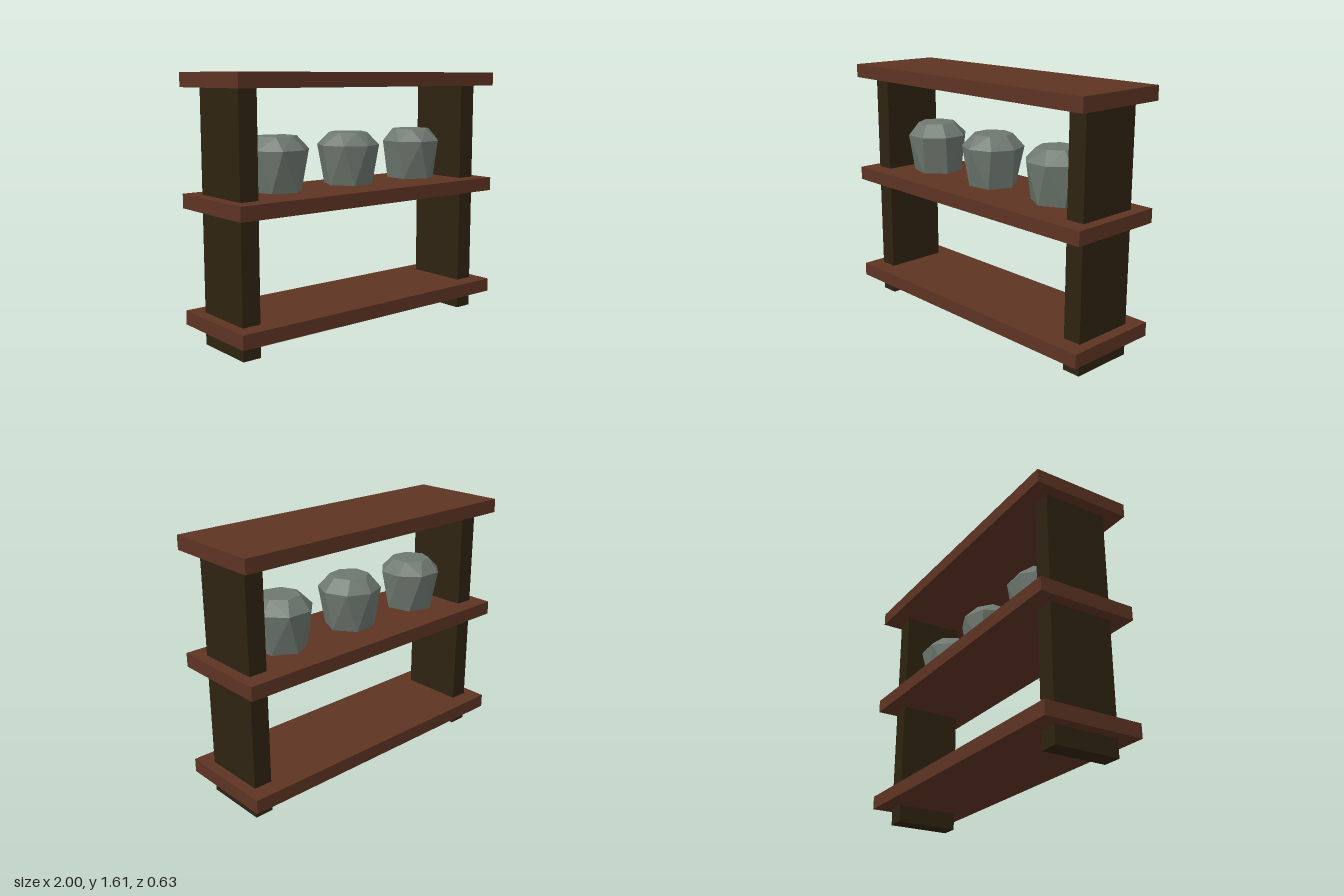
import * as THREE from 'three';
import { ConvexGeometry } from 'three/addons/geometries/ConvexGeometry.js';

const material = (name, color) => {
  const m = new THREE.MeshStandardMaterial({ color });
  m.name = name;
  return m;
};

// Points on a horizontal circle; angles in degrees measured from the front
function ring(count, radius, y, start) {
  return Array.from({ length: count }, (_, i) => {
    const a = THREE.MathUtils.degToRad(start + (i * 360) / count);
    return new THREE.Vector3(Math.sin(a) * radius, y, Math.cos(a) * radius);
  });
}

export function createModel() {
  const shelfWood = material('reddish shelf wood', 0x5e3423);
  const postWood = material('dark post wood', 0x2f2311);
  const stone = material('grey stone', 0x6e7870);
  stone.flatShading = true;

  const model = new THREE.Group();
  model.name = 'shelfWithStones';

  const add = (name, geometry, mat, x, y, z = 0) => {
    const mesh = new THREE.Mesh(geometry, mat);
    mesh.name = name;
    mesh.position.set(x, y, z);
    model.add(mesh);
    return mesh;
  };

  // Three boards
  const board = new THREE.BoxGeometry(2, 0.087, 0.632);
  [['bottomShelf', 0.154], ['middleShelf', 0.863], ['topShelf', 1.571]]
    .forEach(([name, y]) => add(name, board, shelfWood, 0, y));

  // Side posts running through the boards
  const post = new THREE.BoxGeometry(0.118, 1.6, 0.412);
  add('leftPost', post, postWood, 0.872, 0.8);
  add('rightPost', post, postWood, -0.872, 0.8);

  // Faceted stones: narrow base, wide shoulder, small flat top
  const rock = new ConvexGeometry([
    ...ring(6, 0.157, 0, 0),
    ...ring(8, 0.197, 0.247, 22.5),
    ...ring(7, 0.123, 0.326, 10),
  ]);
  [['rightStone', -0.546, -46], ['middleStone', 0, -24], ['leftStone', 0.546, 0]]
    .forEach(([name, x, spin]) => {
      add(name, rock, stone, x, 0.919).rotation.y = THREE.MathUtils.degToRad(spin);
    });

  return model;
}
